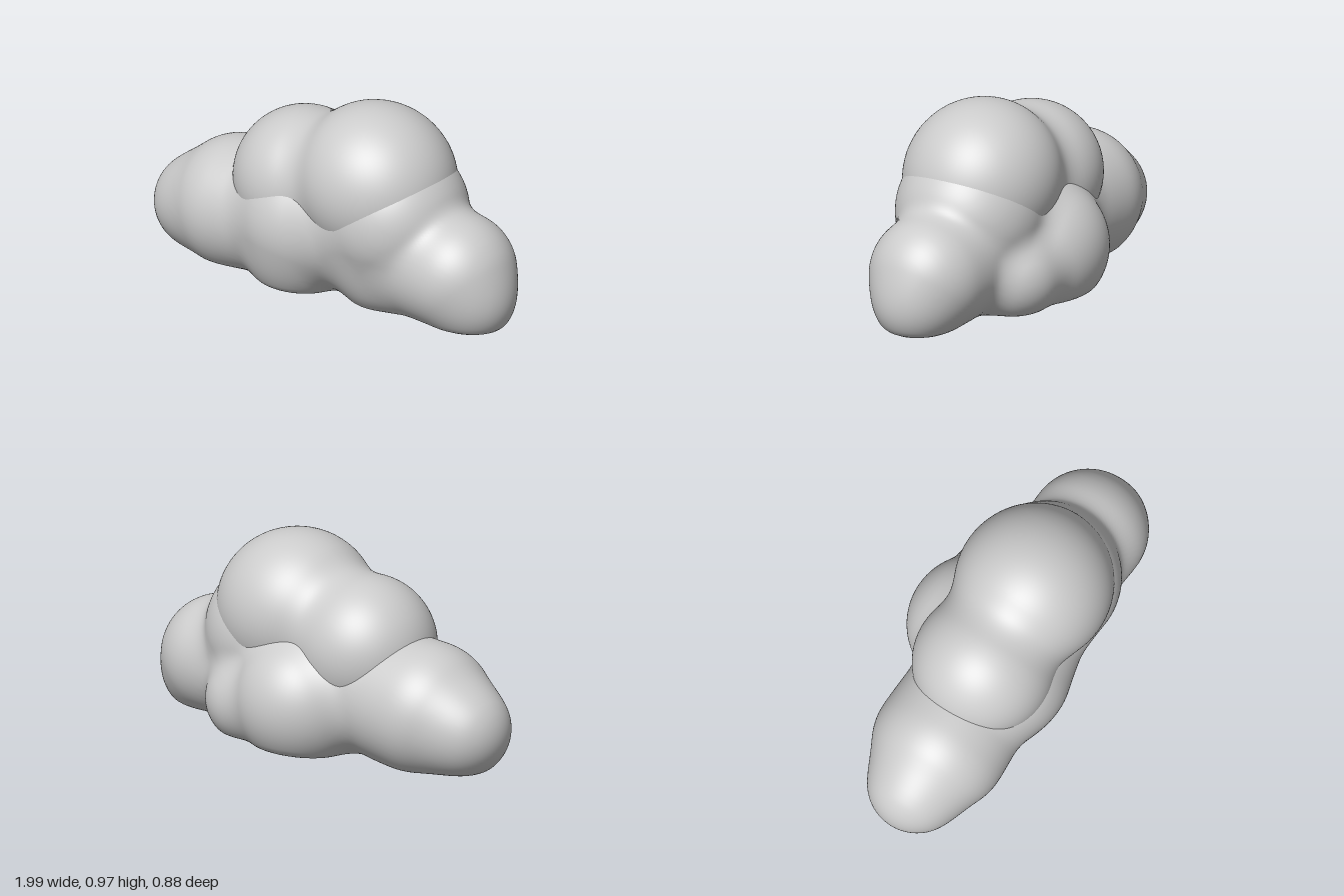
import * as THREE from 'three';
import { mergeVertices } from 'three/addons/utils/BufferGeometryUtils.js';

// Puffs as [x, y, z, radius]
const bodyPuffs = [
  [-0.77, 0.23, 0.06, 0.23], // right-hand tip
  [-0.56, 0.28, 0.055, 0.318], // right-hand shoulder
  [-0.36, 0.3, 0.055, 0.305], // saddle beside the shoulder
  [-0.13, 0.35, 0.085, 0.35], // middle
  [-0.16, 0.18, 0.14, 0.235], // middle, low front
  [0.1, 0.39, 0.06, 0.325], // saddle in the middle
  [0.33, 0.47, 0.06, 0.35], // tall middle
  [0.3, 0.25, 0.05, 0.285], // fill under the tall middle
  [0.5, 0.27, 0.05, 0.27], // saddle beside the left-hand end
  [0.69, 0.27, 0.06, 0.28], // left-hand end
  [0.8, 0.16, 0.07, 0.187], // left-hand low tip
  [0.03, 0.25, -0.125, 0.324], // back
  [0.31, 0.2, -0.17, 0.213], // small back
];
const crownPuffs = [
  [-0.19, 0.51, 0.055, 0.333],
  [0.2, 0.614, 0.06, 0.35],
  [0.27, 0.595, 0.06, 0.335],
];

// Smooth minimum: rounds the valley between two puffs
function smoothMin(a, b, k) {
  const h = Math.max(k - Math.abs(a - b), 0) / k;
  return Math.min(a, b) - h * h * k * 0.25;
}

// Signed distance to the blended puffs, cut by a slightly bowed underside
function distance(p, puffs, blend) {
  let d = Infinity;
  for (const [x, y, z, r] of puffs) {
    const s = Math.hypot(p.x - x, p.y - y, p.z - z) - r;
    d = d === Infinity ? s : smoothMin(d, s, blend);
  }
  const ground = 0.003 + 0.25 * p.z * p.z + 0.025 * p.x * p.x;
  return -smoothMin(-d, p.y - ground, 0.035);
}

// Shrink-wrap a stretched sphere onto the blended puffs
function wrap(name, puffs, blend, centre, stretch, segments) {
  let geometry = new THREE.SphereGeometry(1, segments, Math.round(segments * 0.55));
  geometry.deleteAttribute('uv');
  geometry.deleteAttribute('normal');
  geometry = mergeVertices(geometry, 1e-5);
  const pos = geometry.attributes.position;
  const dir = new THREE.Vector3();
  const p = new THREE.Vector3();
  for (let i = 0; i < pos.count; i++) {
    dir.fromBufferAttribute(pos, i).multiply(stretch).normalize();
    let t = 1.4;
    for (let step = 0; step < 90; step++) {
      p.copy(centre).addScaledVector(dir, t);
      const d = distance(p, puffs, blend);
      if (d < 0.0003 || t < 0.02) break;
      t -= d * 0.9;
    }
    pos.setXYZ(i, p.x, p.y, p.z);
  }
  geometry.computeVertexNormals();
  const mesh = new THREE.Mesh(geometry, new THREE.MeshStandardMaterial({ color: 0xcccccc }));
  mesh.name = name;
  return mesh;
}

export function createModel() {
  const group = new THREE.Group();
  group.name = 'cloud';
  // Wide lower cloud with a nearly flat underside
  group.add(wrap('cloudBody', bodyPuffs, 0.07,
    new THREE.Vector3(0, 0.27, 0.05), new THREE.Vector3(1, 0.5, 0.5), 220));
  // Rounded crown sitting in the body
  group.add(wrap('cloudCrown', crownPuffs, 0.1,
    new THREE.Vector3(0.02, 0.56, 0.057), new THREE.Vector3(1, 0.7, 0.7), 120));
  return group;
}
